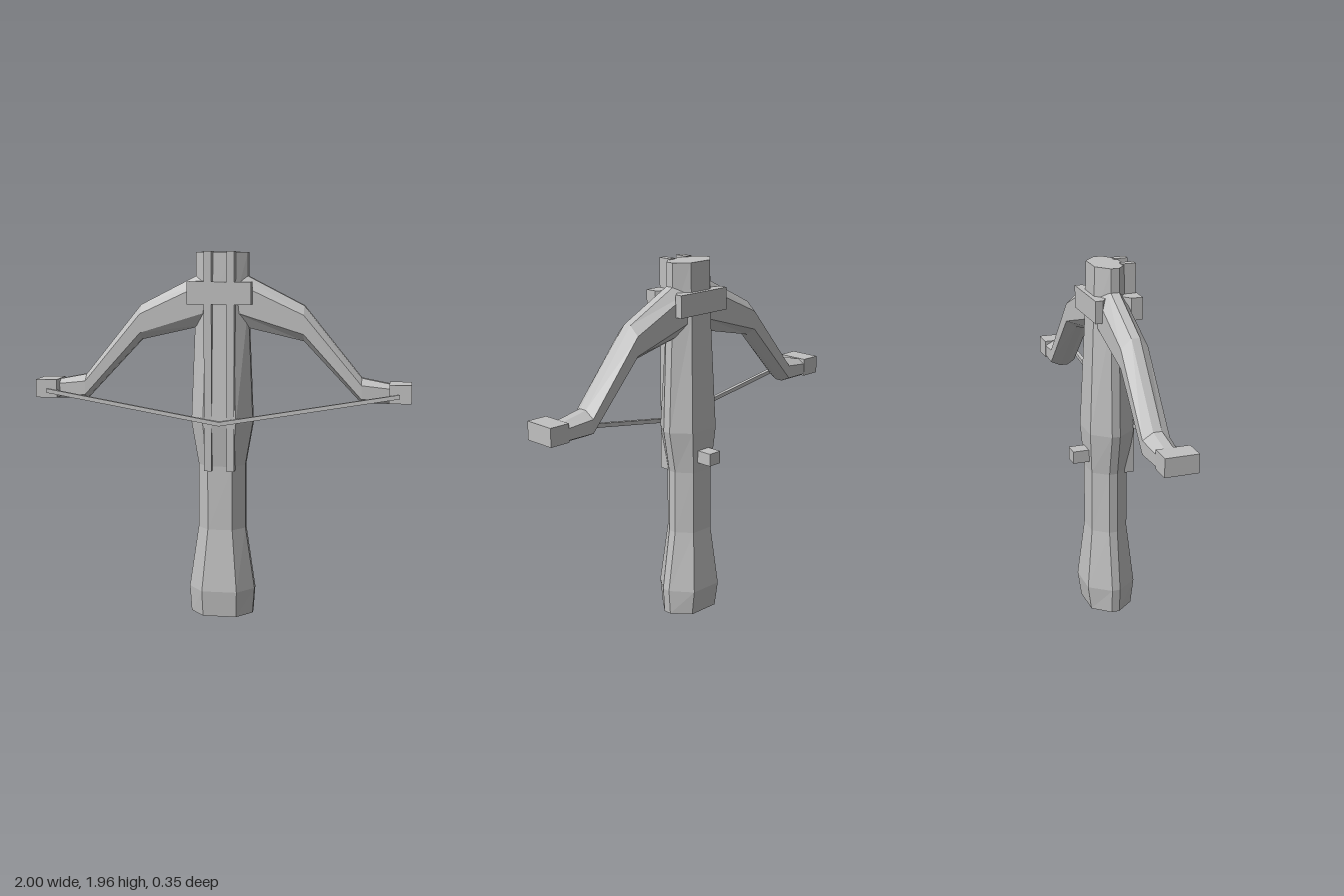
import * as THREE from 'three';

// Joins equal-length rings (anticlockwise seen from the far end) into a capped solid
function loft(rings) {
  const pos = [];
  const tri = (...pts) => pts.forEach(p => pos.push(...p));
  const n = rings[0].length;
  for (let i = 0; i < rings.length - 1; i++) {
    for (let j = 0; j < n; j++) {
      const k = (j + 1) % n;
      const [a, b, c, d] = [rings[i][j], rings[i][k], rings[i + 1][k], rings[i + 1][j]];
      tri(a, b, c);
      tri(a, c, d);
    }
  }
  const first = rings[0], last = rings[rings.length - 1];
  for (let j = 1; j < n - 1; j++) {
    tri(first[0], first[j + 1], first[j]);
    tri(last[0], last[j], last[j + 1]);
  }
  const g = new THREE.BufferGeometry();
  g.setAttribute('position', new THREE.Float32BufferAttribute(pos, 3));
  g.computeVertexNormals();
  return g;
}

export function createModel() {
  const model = new THREE.Group();
  model.name = 'crossbow';
  const grey = new THREE.MeshStandardMaterial({ color: 0xc0c0c0, flatShading: true });
  grey.name = 'plain grey';

  const add = (name, geometry) => {
    const mesh = new THREE.Mesh(geometry, grey);
    mesh.name = name;
    model.add(mesh);
    return mesh;
  };
  // Box from its lower and upper limits on each axis
  const box = (name, [x0, x1], [y0, y1], [z0, z1]) =>
    add(name, new THREE.BoxGeometry(x1 - x0, y1 - y0, z1 - z0))
      .position.set((x0 + x1) / 2, (y0 + y1) / 2, (z0 + z1) / 2);

  // Eight-sided stock: height, half width, half width of flat face, front z, back z
  const stock = [
    [0, 0.168, 0.09, 0.14, -0.093],
    [0.14, 0.178, 0.094, 0.155, -0.113],
    [0.475, 0.128, 0.066, 0.12, -0.08],
    [0.82, 0.126, 0.066, 0.12, -0.08],
    [1.05, 0.166, 0.088, 0.15, -0.095],
    [1.67, 0.14, 0.07, 0.108, -0.07],
    [1.95, 0.138, 0.07, 0.1, -0.063],
  ];
  add('stock', loft(stock.map(([y, w, f, zf, zb]) => [
    [f, y, zf], [w, y, 0.045], [w, y, 0], [f, y, zb],
    [-f, y, zb], [-w, y, 0], [-w, y, 0.045], [-f, y, zf],
  ])));

  // Bow limb: x, bottom, lower edge, upper edge, top, front z, back z
  const limb = [
    [0.05, 1.575, 1.645, 1.805, 1.87, 0.088, -0.055],
    [0.435, 1.487, 1.525, 1.625, 1.673, 0.088, -0.055],
    [0.74, 1.165, 1.19, 1.262, 1.297, 0.086, -0.055],
    [0.89, 1.165, 1.185, 1.245, 1.268, 0.072, -0.042],
    [0.97, 1.165, 1.185, 1.235, 1.255, 0.065, -0.035],
  ];
  const limbRings = limb.map(([x, b, l, u, t, zf, zb]) => [
    [x, l, zb], [x, u, zb], [x, t, 0], [x, t, 0.045],
    [x, u, zf], [x, l, zf], [x, b, 0.045], [x, b, 0],
  ]);

  for (const side of [1, -1]) {
    const label = side > 0 ? 'left' : 'right';
    const mirror = ([a, b]) => (side > 0 ? [a, b] : [-b, -a]);
    add(label + 'Limb', loft(side > 0 ? limbRings
      : limbRings.map(r => r.map(([x, y, z]) => [-x, y, z]).reverse())));
    box(label + 'LimbTip', mirror([0.885, 1]), [1.175, 1.272], [-0.045, 0.13]);
    box(label + 'Rail', mirror([0.04, 0.08]), [0.8, 1.955], [0.08, 0.155]);

    // Half of the bowstring, from the middle to the limb tip
    const h = 0.011;
    const section = (x, y, z) => [
      [x, y - h, z - h], [x, y + h, z - h], [x, y + h, z + h], [x, y - h, z + h],
    ];
    const rings = [section(0, 1.055, 0.16), section(0.94, 1.213, 0.131)];
    add(label + 'String', loft(side > 0 ? rings
      : rings.map(r => r.map(([x, y, z]) => [-x, y, z]).reverse())));
  }

  // Clamp plates holding the limbs, with ends bevelled in towards the stock
  const clamp = (name, pts) => {
    const ring = y => pts.map(([x, z]) => [x, y, z]);
    add(name, loft([ring(1.68), ring(1.798)]));
  };
  clamp('frontClamp', [[-0.168, 0.162], [0.168, 0.162], [0.168, 0.1], [0.1, 0.045], [-0.1, 0.045], [-0.168, 0.1]]);
  clamp('backClamp', [[0.168, -0.092], [-0.168, -0.092], [-0.168, -0.052], [-0.1, -0.005], [0.1, -0.005], [0.168, -0.052]]);

  box('trigger', [-0.04, 0.04], [0.875, 0.943], [-0.175, -0.07]);
  return model;
}
